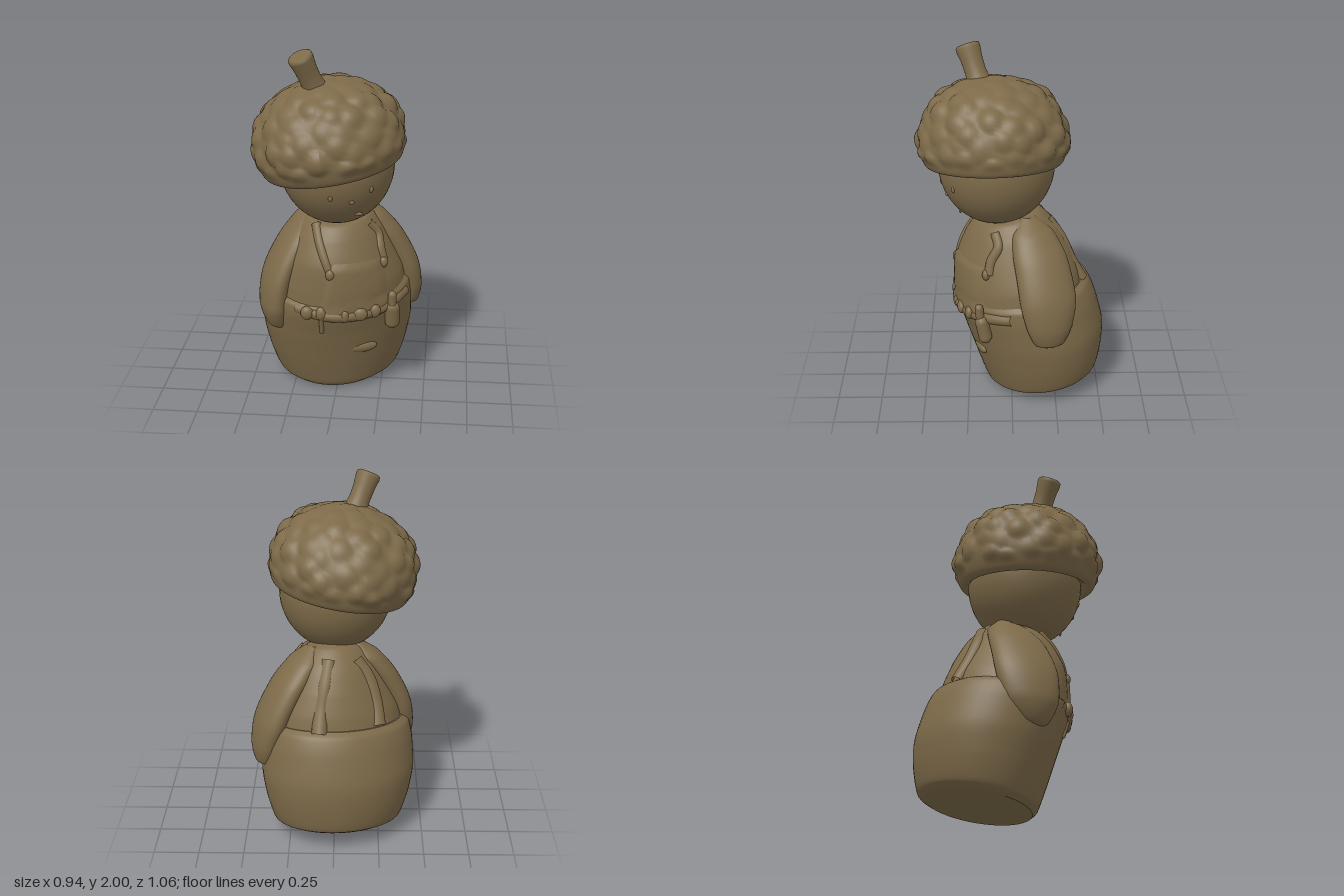
import * as THREE from 'three';

const V = (x, y, z) => new THREE.Vector3(x, y, z);
const clay = new THREE.MeshStandardMaterial({ color: 0x7d6a49, side: THREE.DoubleSide });
clay.name = 'brown clay';
const YAW = 0.31; // the figure turns a little to its left
const SKEW = 0.1; // the same turn, as seen in the oval body rings

// Smooth ring surface through sections { c, u, v }: centre and two half axes
function ringSurface(sections) {
  const [C, U, W] = ['c', 'u', 'v'].map(k => new THREE.CatmullRomCurve3(sections.map(s => s[k])));
  return (t, a) => C.getPoint(t).addScaledVector(U.getPoint(t), Math.cos(a)).addScaledVector(W.getPoint(t), Math.sin(a));
}

// Closed skin over a ring surface, with flat end caps
function loft(sections, rows = 40, seg = 56) {
  const at = ringSurface(sections), pos = [], idx = [];
  for (let j = 0; j <= rows; j++)
    for (let i = 0; i < seg; i++) pos.push(...at(j / rows, i / seg * Math.PI * 2).toArray());
  for (let j = 0; j < rows; j++)
    for (let i = 0; i < seg; i++) {
      const a = j * seg + i, b = j * seg + (i + 1) % seg;
      idx.push(a, a + seg, b, b, a + seg, b + seg);
    }
  for (const end of [0, 1]) {
    const base = pos.length / 3;
    pos.push(...sections[end ? sections.length - 1 : 0].c.toArray());
    for (let i = 0; i < seg; i++) pos.push(...at(end, i / seg * Math.PI * 2).toArray());
    for (let i = 0; i < seg; i++) {
      const p = base + 1 + i, q = base + 1 + (i + 1) % seg;
      if (end) idx.push(base, q, p); else idx.push(base, p, q);
    }
  }
  const g = new THREE.BufferGeometry();
  g.setAttribute('position', new THREE.Float32BufferAttribute(pos, 3));
  g.setIndex(idx);
  g.computeVertexNormals();
  return g;
}

// Body section from its front and back points, half width and centre x
const bodyRing = ([zf, yf, zb, yb, hw, cx]) => ({
  c: V(cx, (yf + yb) / 2, (zf + zb) / 2),
  u: V(hw * Math.sqrt(1 - SKEW * SKEW), 0, 0),
  v: V(-SKEW * hw, (yf - yb) / 2, (zf - zb) / 2),
});
const trouserRings = [
  [0.12, 0.002, -0.46, 0.108, 0.31, -0.018], [0.15, 0.03, -0.495, 0.135, 0.357, -0.018],
  [0.205, 0.18, -0.522, 0.27, 0.405, -0.02], [0.265, 0.36, -0.522, 0.42, 0.43, -0.02],
  [0.312, 0.50, -0.482, 0.57, 0.425, -0.015], [0.322, 0.57, -0.437, 0.672, 0.408, -0.01],
  [0.308, 0.595, -0.40, 0.70, 0.378, -0.005],
].map(bodyRing);
const torsoRings = [
  [0.312, 0.50, -0.41, 0.62, 0.39, -0.005], [0.318, 0.66, -0.375, 0.76, 0.36, 0],
  [0.31, 0.81, -0.327, 0.88, 0.302, 0], [0.255, 0.945, -0.255, 1.0, 0.24, 0],
  [0.20, 1.02, -0.165, 1.09, 0.175, 0], [0.12, 1.05, -0.08, 1.12, 0.09, 0],
].map(bodyRing);

// Point samples that let details sit on the body
const samples = { front: [], back: [] };
for (const rings of [trouserRings, torsoRings]) {
  const at = ringSurface(rings);
  for (let j = 0; j <= 90; j++)
    for (let i = 0; i < 240; i++) {
      const a = i / 240 * Math.PI * 2;
      samples[a < Math.PI ? 'front' : 'back'].push(at(j / 90, a));
    }
}
function onBody(x, y, side = 'front') {
  let best = null, d = Infinity;
  for (const p of samples[side]) {
    const e = (p.x - x) ** 2 + (p.y - y) ** 2;
    if (e < d) { d = e; best = p; }
  }
  return V(x, y, best.z);
}

// Cap: a turned dome covered with uneven rounded scales
function capGeometry() {
  const profile = [[0.2, 0.05], [0.3, 0.025], [0.35, -0.01], [0.382, 0.003], [0.402, 0.06], [0.408, 0.13],
    [0.393, 0.22], [0.338, 0.325], [0.24, 0.412], [0.12, 0.46], [0.001, 0.473]].map(p => new THREE.Vector2(...p));
  const g = new THREE.LatheGeometry(new THREE.SplineCurve(profile).getPoints(72), 120);
  const scales = [], n = 95;
  for (let k = 0; k < n; k++) {
    const h = (k + 0.5) / n, r = Math.sqrt(1 - h * h);
    const a = k * 2.39996 + 0.09 * Math.sin(k * 12.9);
    scales.push({ dir: V(r * Math.cos(a), h + 0.04 * Math.sin(k * 7.3), r * Math.sin(a)).normalize(),
      size: 0.022 + 0.008 * Math.sin(k * 4.7) });
  }
  const pos = g.attributes.position, p = V(0, 0, 0), dir = V(0, 0, 0);
  for (let i = 0; i < pos.count; i++) {
    p.fromBufferAttribute(pos, i);
    dir.set(p.x / 0.42, (p.y - 0.03) / 0.45, p.z / 0.42).normalize();
    let lump = 0;
    for (const s of scales) lump = Math.max(lump, s.size * (1 - s.dir.distanceToSquared(dir) / 0.026));
    const fade = THREE.MathUtils.smoothstep(p.y, 0.02, 0.09) * (1 - 0.6 * THREE.MathUtils.smoothstep(p.y, 0.36, 0.46));
    p.addScaledVector(dir, fade * lump);
    pos.setXYZ(i, p.x, p.y, p.z);
  }
  g.computeVertexNormals();
  return g;
}

export function createModel() {
  const model = new THREE.Group();
  const add = (name, geometry, at = [0, 0, 0], scale = [1, 1, 1], rot = [0, 0, 0]) => {
    const m = new THREE.Mesh(geometry, clay);
    m.name = name;
    m.position.set(...at);
    m.scale.set(...scale);
    m.rotation.set(...rot);
    model.add(m);
    return m;
  };
  const ball = new THREE.SphereGeometry(1, 24, 16);

  // Body
  add('trousers', loft(trouserRings));
  add('torso', loft(torsoRings));

  // Arms: x, y, z, half thickness, half breadth, from hand to shoulder
  const arm = rows => loft(rows.map(([x, y, z, a, b]) => ({
    c: V(x, y, z),
    u: V(a * Math.cos(YAW), 0, -a * Math.sin(YAW)),
    v: V(b * Math.sin(YAW), 0, b * Math.cos(YAW)),
  })), 36, 36);
  add('leftArm', arm([
    [0.39, 0.415, -0.205, 0.01, 0.02], [0.39, 0.445, -0.205, 0.055, 0.085], [0.387, 0.54, -0.205, 0.075, 0.13],
    [0.348, 0.70, -0.195, 0.09, 0.16], [0.252, 0.89, -0.155, 0.095, 0.152], [0.17, 1.01, -0.115, 0.085, 0.12],
    [0.12, 1.09, -0.09, 0.03, 0.04]]));
  add('rightArm', arm([
    [-0.325, 0.375, 0.13, 0.01, 0.02], [-0.34, 0.405, 0.13, 0.055, 0.085], [-0.36, 0.52, 0.125, 0.08, 0.15],
    [-0.338, 0.70, 0.10, 0.085, 0.17], [-0.25, 0.89, 0.05, 0.09, 0.155], [-0.17, 1.01, 0.0, 0.085, 0.12],
    [-0.12, 1.09, -0.03, 0.03, 0.04]]));

  // Bib: a raised panel whose border sinks into the chest
  const bib = new THREE.PlaneGeometry(1, 1, 12, 10), bp = bib.attributes.position;
  for (let i = 0; i < bp.count; i++) {
    const s = bp.getX(i), t = bp.getY(i) + 0.5;
    const edge = Math.abs(s) > 0.49 || t > 0.99;
    const q = onBody(0.115 + s * (0.42 - 0.15 * t), 0.55 + 0.295 * t);
    bp.setXYZ(i, q.x, q.y, q.z + (edge ? -0.005 : 0.014));
  }
  bib.computeVertexNormals();
  add('bib', bib);

  // Bands half sunk into the body: straps and belt
  const strip = (name, pts, side, r, sink) => add(name, new THREE.TubeGeometry(
    new THREE.CatmullRomCurve3(pts.map(([x, y]) => onBody(x, y, side).add(V(0, 0, side === 'front' ? -sink : sink)))), 32, r, 12));
  strip('rightFrontStrap', [[-0.11, 1.02], [-0.085, 0.94], [-0.05, 0.85], [-0.02, 0.78]], 'front', 0.028, 0.018);
  strip('leftFrontStrap', [[0.17, 1.01], [0.22, 0.95], [0.24, 0.87], [0.26, 0.80]], 'front', 0.028, 0.018);
  strip('rightBackStrap', [[-0.11, 1.02], [-0.18, 0.92], [-0.22, 0.80], [-0.24, 0.68]], 'back', 0.045, 0.045);
  strip('leftBackStrap', [[0.03, 1.03], [0.05, 0.92], [0.07, 0.80], [0.08, 0.68]], 'back', 0.045, 0.039);
  for (const [x, y] of [[-0.02, 0.78], [0.26, 0.80]])
    add('strapButton', ball, onBody(x, y).toArray(), [0.026, 0.032, 0.022]);

  // Belt with pouches and a tool holder
  strip('belt', [[-0.21, 0.56], [-0.12, 0.545], [0.0, 0.53], [0.12, 0.53], [0.24, 0.54], [0.32, 0.56], [0.37, 0.575]], 'front', 0.034, 0.012);
  for (const [x, y, w] of [[-0.15, 0.55, 0.035], [-0.07, 0.55, 0.03], [0.06, 0.535, 0.025], [0.14, 0.54, 0.045], [0.22, 0.545, 0.035]])
    add('beltPouch', ball, onBody(x, y).add(V(0, 0, 0.006)).toArray(), [w, 0.04, 0.026]);
  add('hangingTool', new THREE.CapsuleGeometry(0.013, 0.09, 6, 12), onBody(-0.07, 0.47).toArray(), [1, 1, 1], [0.3, 0, 0]);
  add('toolHolder', new THREE.CapsuleGeometry(0.042, 0.09, 8, 18), [0.315, 0.49, 0.16], [1, 1, 0.9], [0.2, 0, 0]);
  add('toolHandle', new THREE.CapsuleGeometry(0.024, 0.07, 8, 14), [0.315, 0.585, 0.18], [1, 1, 1], [0.1, 0, 0]);
  add('pocketFold', ball, onBody(0.15, 0.29).add(V(0, 0, -0.014)).toArray(), [0.085, 0.035, 0.026], [0.2, 0.3, 0]);

  // Head and face
  const head = V(-0.005, 1.362, 0.083);
  add('head', new THREE.SphereGeometry(1, 48, 32), head.toArray(), [0.318, 0.343, 0.323]);
  const onHead = (x, y) => {
    const dx = (x - head.x) / 0.318, dy = (y - head.y) / 0.343;
    return [x, y, head.z + 0.323 * Math.sqrt(1 - dx * dx - dy * dy) - 0.003];
  };
  add('rightEye', ball, onHead(-0.01, 1.25), [0.012, 0.02, 0.01]);
  add('leftEye', ball, onHead(0.2, 1.285), [0.012, 0.02, 0.01]);
  add('nose', ball, onHead(0.1, 1.22), [0.016, 0.014, 0.01]);
  add('mouth', ball, onHead(0.12, 1.13), [0.035, 0.012, 0.008]);

  // Cap and stem
  add('cap', capGeometry(), [-0.022, 1.355, 0.097], [1, 1, 1], [0.02, 0, 0.175]);
  const axis = V(-0.085, 0.22, 0.075);
  const stem = new THREE.LatheGeometry([[0.085, -0.04], [0.066, 0.02], [0.058, 0.08], [0.06, 0.15],
    [0.068, 0.21], [0.066, 0.226], [0.055, 0.233], [0, 0.233]].map(p => new THREE.Vector2(...p)), 28);
  add('stem', stem, [-0.105, 1.77, 0.17]).quaternion.setFromUnitVectors(V(0, 1, 0), axis.normalize());
  return model;
}
